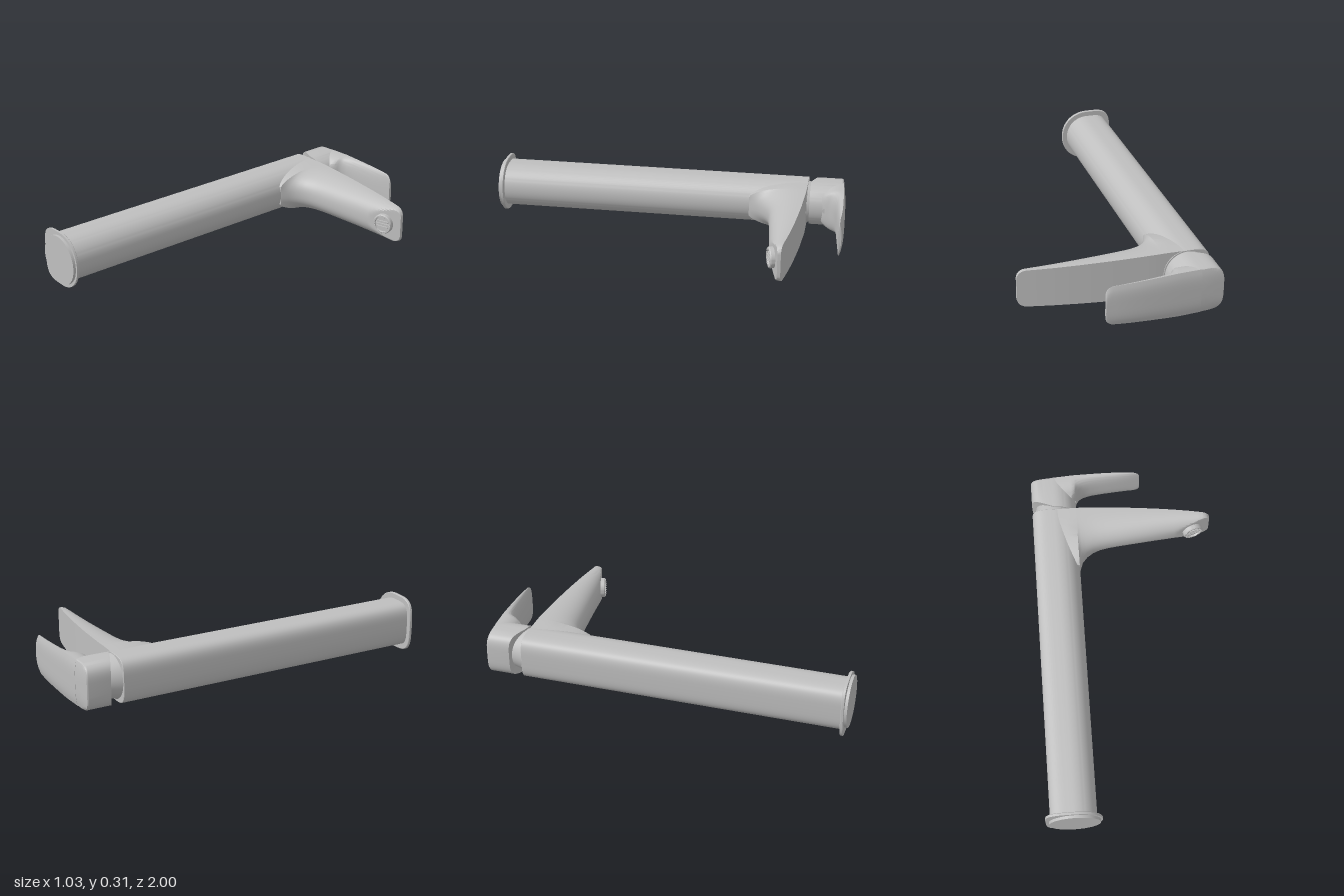
import * as THREE from 'three';
import { toCreasedNormals } from 'three/addons/utils/BufferGeometryUtils.js';

const CX = -0.365, CY = 0.155;

// Piecewise-linear lookup through [x, value] knots
function lerpAt(knots, x) {
  if (x <= knots[0][0]) return knots[0][1];
  for (let i = 1; i < knots.length; i++) {
    const [x0, a] = knots[i - 1], [x1, b] = knots[i];
    if (x <= x1) return a + (b - a) * (x - x0) / (x1 - x0);
  }
  return knots[knots.length - 1][1];
}

// Closed skin through equal-length rings, fan-capped at both ends
function loft(rings, crease = 0.6) {
  const n = rings[0].length, pos = [], idx = [];
  rings.forEach(r => r.forEach(p => pos.push(...p)));
  for (let i = 0; i < rings.length - 1; i++) {
    for (let j = 0; j < n; j++) {
      const a = i * n + j, b = i * n + (j + 1) % n;
      idx.push(a, b, b + n, a, b + n, a + n);
    }
  }
  [0, rings.length - 1].forEach((k, end) => {
    const c = pos.length / 3, mid = [0, 1, 2].map(d => rings[k].reduce((s, p) => s + p[d], 0) / n);
    pos.push(...mid);
    for (let j = 0; j < n; j++) {
      const a = k * n + j, b = k * n + (j + 1) % n;
      if (end) idx.push(c, a, b); else idx.push(c, b, a);
    }
  });
  // Turn the faces outward if the enclosed volume is negative
  const v = i => new THREE.Vector3().fromArray(pos, i * 3);
  let volume = 0;
  for (let i = 0; i < idx.length; i += 3) volume += v(idx[i]).dot(v(idx[i + 1]).cross(v(idx[i + 2])));
  if (volume < 0) idx.reverse();
  const g = new THREE.BufferGeometry();
  g.setAttribute('position', new THREE.Float32BufferAttribute(pos, 3));
  g.setIndex(idx);
  return toCreasedNormals(g, crease);
}

const spow = (t, e) => Math.sign(t) * Math.pow(Math.abs(t), e);

// Outline that is squarish towards -x and round towards +x; zRule(x, y) sets the height
function dRing(rx, ry, zRule, cx = CX) {
  const ring = [];
  for (let i = 0; i < 72; i++) {
    const a = i / 72 * Math.PI * 2, c = Math.cos(a), e = c < 0 ? 0.5 : 0.95;
    const x = cx + rx * spow(c, e), y = CY + ry * spow(Math.sin(a), e);
    ring.push([x, y, zRule(x, y)]);
  }
  return ring;
}

// Upright section at x: nearly flat upper edge, rounded belly
function bellyRing(x, half, top, bottom, crown, power, limit = Infinity) {
  const ring = [], edge = top + crown;
  for (let i = 0; i <= 12; i++) {
    const t = -1 + i / 6;
    ring.push([x, CY + half * t, top + crown * t ** 4]);
  }
  for (let i = 1; i < 32; i++) {
    const a = i / 32 * Math.PI;
    const z = edge + Math.max(0.002, bottom - edge) * Math.pow(Math.sin(a), 2 / power);
    ring.push([x, CY + half * spow(Math.cos(a), 2 / power), Math.max(edge, Math.min(z, limit))]);
  }
  return ring;
}

// Section positions ending in a rounded tip, with the tip's narrowing factor
function stations(xs, tipStart, tip) {
  const out = xs.map(x => [x, 0]);
  for (let i = 0; i <= 8; i++) {
    const a = i / 8 * Math.PI / 2;
    out.push([tipStart + (tip - tipStart) * Math.sin(a), 1 - Math.cos(a)]);
  }
  return out;
}

export function createModel() {
  const model = new THREE.Group();
  model.name = 'basinMixerTap';
  const metal = new THREE.MeshStandardMaterial({ color: 0xbfbfbf });
  metal.name = 'grey metal';
  const add = (name, geometry, parent = model) => {
    const m = new THREE.Mesh(geometry, metal);
    m.name = name;
    parent.add(m);
    return m;
  };
  const disc = (name, r0, r1, z0, z1) => {
    const m = add(name, new THREE.CylinderGeometry(r1, r0, Math.abs(z1 - z0), 64));
    m.rotation.x = -Math.PI / 2;
    m.position.set(CX, CY, (z0 + z1) / 2);
    return m;
  };

  // Base and column
  disc('baseDisc', 0.138, 0.138, 1, 0.98).position.x = -0.36;
  add('baseFlange', loft([0.985, 0.973, 0.97].map((z, i) =>
    dRing(i === 2 ? 0.149 : 0.152, i === 2 ? 0.152 : 0.155, () => z, -0.363))));
  add('column', loft([0.975, -0.778, -0.78].map((z, i) =>
    dRing(i === 2 ? 0.123 : 0.125, i === 2 ? 0.123 : 0.125, () => z))));

  // Spout with a fillet into the column and a slanted underside at the tip
  const spoutTop = [[-0.365, -0.779], [-0.2, -0.777], [-0.1, -0.771], [0, -0.765], [0.1, -0.756],
    [0.2, -0.746], [0.3, -0.734], [0.4, -0.719], [0.51, -0.7]];
  const spoutBottom = [[-0.365, -0.45], [-0.3, -0.42], [-0.24, -0.43], [-0.235, -0.465], [-0.222, -0.5],
    [-0.195, -0.533], [-0.16, -0.558], [-0.12, -0.574], [-0.07, -0.584], [0, -0.592],
    [0.1, -0.602], [0.2, -0.612], [0.31, -0.622], [0.51, -0.64]];
  const spoutXs = spoutBottom.slice(0, -1).map(k => k[0]);
  spoutXs.push(0.33, 0.35, 0.37, 0.39, 0.41, 0.43, 0.445);
  add('spout', loft(stations(spoutXs, 0.46, 0.511).map(([x, t]) => {
    const half = lerpAt([[-0.365, 0.1235], [-0.24, 0.125], [0.46, 0.105]], x) - 0.045 * t;
    return bellyRing(x, half, lerpAt(spoutTop, x), lerpAt(spoutBottom, x), 0, 2.4,
      -0.622 - (x - 0.31) * 0.3);
  }), 0.5));

  // Aerator set square to the slanted underside
  const aerator = new THREE.Group();
  aerator.name = 'aerator';
  aerator.position.set(0.412, CY, -0.655);
  aerator.rotation.y = 0.29;
  model.add(aerator);
  const profile = [[0, -0.01], [0.057, -0.01], [0.057, 0.022], [0.053, 0.028], [0.046, 0.028],
    [0.044, 0.018], [0, 0.018]].map(p => new THREE.Vector2(...p));
  add('aeratorRing', toCreasedNormals(new THREE.LatheGeometry(profile, 48), 0.5), aerator).rotation.x = Math.PI / 2;
  for (let i = -1; i <= 1; i++) {
    add('aeratorBar', new THREE.BoxGeometry(i ? 0.07 : 0.086, 0.008, 0.008), aerator).position.set(0, i * 0.016, 0.021);
  }
  for (let i = 0; i < 24; i++) {
    const a = i / 24 * Math.PI * 2;
    const tooth = add('aeratorTooth', new THREE.BoxGeometry(0.006, 0.005, 0.006), aerator);
    tooth.position.set(0.047 * Math.cos(a), 0.047 * Math.sin(a), 0.027);
    tooth.rotation.z = a;
  }

  // Cartridge collar under the handle
  disc('collar', 0.119, 0.1, -0.775, -0.85);

  // Handle body, its foot cut away towards the rear
  const leverTop = [[-0.49, -0.98], [-0.4, -0.987], [-0.3, -0.993], [-0.2, -0.997], [-0.1, -1],
    [0, -1], [0.07, -0.997], [0.135, -0.992]];
  const crown = 0.012;
  const foot = x => -0.795 - Math.max(0, -0.36 - x) * 0.42;
  const roof = (x, y) => lerpAt(leverTop, x) + crown * ((y - CY) / 0.125) ** 4;
  const bodyRings = [dRing(0.125, 0.125, foot), dRing(0.125, 0.125, (x, y) => roof(x, y) + 0.01)];
  [0.995, 0.975, 0.85, 0.6, 0.3].forEach((s, i) =>
    bodyRings.push(dRing(0.125 * s, 0.125 * s, (x, y) => roof(x, y) + (i ? 0.001 : 0.004))));
  add('handleBody', loft(bodyRings, 0.7));

  // Lever blade
  const leverBottom = [[-0.365, -0.85], [-0.26, -0.85], [-0.24, -0.87], [-0.232, -0.895], [-0.215, -0.917],
    [-0.19, -0.932], [-0.15, -0.944], [-0.08, -0.953], [0, -0.96], [0.07, -0.968], [0.135, -0.975]];
  add('lever', loft(stations(leverBottom.slice(0, -1).map(k => k[0]), 0.09, 0.135).map(([x, t]) => {
    const half = lerpAt([[-0.365, 0.124], [-0.24, 0.125], [0.09, 0.11]], x) - 0.04 * t;
    return bellyRing(x, half, lerpAt(leverTop, x), lerpAt(leverBottom, x), crown, 2.6);
  }), 0.6));

  // Screw plug on the handle's spout side
  const plug = add('screwPlug', new THREE.CylinderGeometry(0.015, 0.015, 0.02, 24));
  plug.rotation.z = Math.PI / 2;
  plug.position.set(-0.246, CY, -0.885);

  return model;
}
